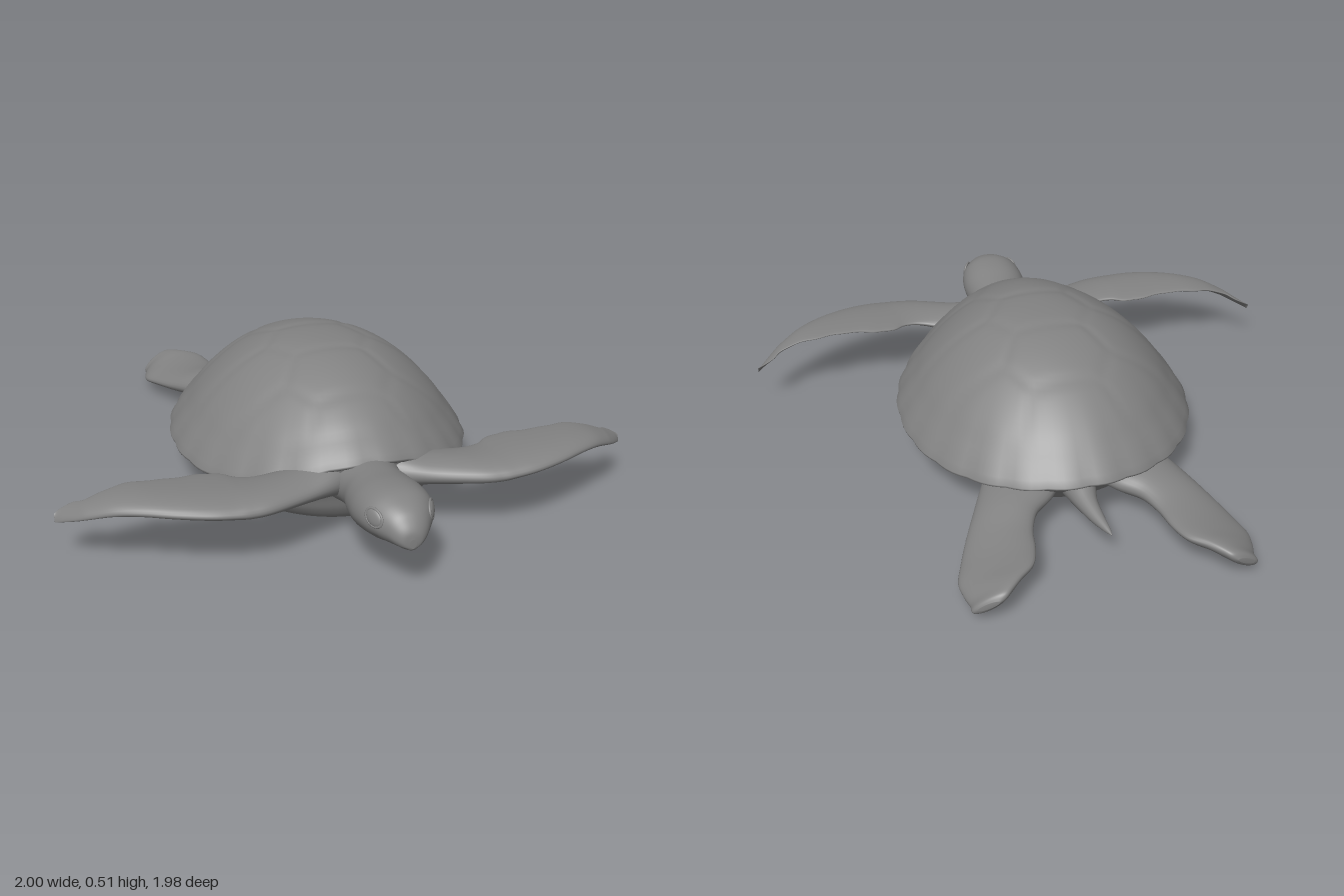
import * as THREE from 'three';

const material = new THREE.MeshStandardMaterial({ color: 0x828282 });
const { lerp, smoothstep, clamp } = THREE.MathUtils;

// Smooth interpolation through a list of section rows, t in 0..1
function sampleRows(rows, t) {
  const f = t * (rows.length - 1), i = Math.min(Math.floor(f), rows.length - 2), k = f - i;
  const at = (n) => rows[clamp(n, 0, rows.length - 1)];
  return rows[i].map((b, c) => {
    const a = at(i - 1)[c], d = at(i + 1)[c], e = at(i + 2)[c];
    return b + 0.5 * k * (d - a + k * (2 * a - 5 * b + 4 * d - e + k * (3 * (b - d) + e - a)));
  });
}

// Closed, capped skin through rings; point(row, angle) returns [x, y, z]
function loft(name, rows, steps, sides, point) {
  const pos = [], index = [];
  for (let i = 0; i <= steps; i++) {
    const row = sampleRows(rows, i / steps);
    for (let j = 0; j < sides; j++) pos.push(...point(row, (j / sides) * Math.PI * 2));
  }
  for (let i = 0; i < steps; i++) {
    for (let j = 0; j < sides; j++) {
      const a = i * sides + j, b = i * sides + (j + 1) % sides;
      index.push(a, b, a + sides, b, b + sides, a + sides);
    }
  }
  for (const end of [0, steps]) {
    const c = [0, 0, 0], start = end * sides, tip = pos.length / 3;
    for (let j = 0; j < sides; j++) for (let k = 0; k < 3; k++) c[k] += pos[(start + j) * 3 + k] / sides;
    pos.push(...c);
    for (let j = 0; j < sides; j++) {
      const a = start + j, b = start + (j + 1) % sides;
      index.push(...(end ? [a, b, tip] : [b, a, tip]));
    }
  }
  // Turn every face outwards, judged by the enclosed volume
  let volume = 0;
  const v = (n) => new THREE.Vector3().fromArray(pos, n * 3);
  for (let i = 0; i < index.length; i += 3) volume += v(index[i]).dot(v(index[i + 1]).cross(v(index[i + 2])));
  if (volume < 0) index.reverse();
  const geometry = new THREE.BufferGeometry();
  geometry.setAttribute('position', new THREE.Float32BufferAttribute(pos, 3));
  geometry.setIndex(index);
  geometry.computeVertexNormals();
  const mesh = new THREE.Mesh(geometry, material);
  mesh.name = name;
  return mesh;
}

// Shell rim: egg outline with a raised front and rear edge
const rimX = (a) => Math.cos(a) * 0.53;
const rimZ = (a) => Math.sin(a) * (Math.sin(a) > 0 ? 0.616 : 0.637);
function rimY(a) {
  const s = Math.sin(a);
  return 0.155 + (s > 0 ? 0.13 * s ** 4 : -0.045 * s ** 3);
}

// Shallow, soft seams between the shell plates
function seams(x, z, r) {
  const groove = (d) => Math.exp(-((d / 0.02) ** 2));
  const phase = (((z + 0.6) / 0.25) % 1 + 1) % 1;
  const halfWidth = 0.12 + 0.07 * (1 - Math.abs(phase - 0.5) * 2);
  const ax = Math.abs(x);
  const cross = ax < halfWidth ? Math.min(phase, 1 - phase) : phase - 0.5;
  const depth = Math.max(groove(ax - halfWidth), groove(cross * 0.25));
  return 0.0035 * depth * (1 - smoothstep(r, 0.8, 0.88)) + 0.003 * groove((r - 0.87) * 0.5);
}

function carapace() {
  // Rows: radius, drop below the rim
  const rows = [];
  for (let i = 0; i <= 36; i++) rows.push([0.015 + (i / 36) * 0.985, 0]);
  rows.push([0.997, 0.008], [0.985, 0.014], [0.95, 0.014]);
  return loft('carapace', rows, rows.length - 1, 120, ([r, drop], a) => {
    const scallop = 1 - 0.011 * r ** 6 * (1 - Math.abs(Math.sin(a * 12)));
    const x = rimX(a) * r * scallop;
    const z = rimZ(a) * r * scallop + 0.03 * (1 - r);
    if (drop > 0) return [x, rimY(a) - drop, z];
    return [x, lerp(rimY(a), 0.517, 1 - Math.min(r, 1) ** 2.38) - seams(x, z, r), z];
  });
}

function plastron() {
  // Rows: blend from rim to belly outline, blend from rim to belly height, scale, belly height
  const rows = [[0, 0, 0.972, 0.05], [0.35, 0.3, 0.982, 0.05], [0.7, 0.6, 0.985, 0.05], [0.92, 0.85, 0.98, 0.048],
    [1, 1, 0.93, 0.036], [1, 1, 0.84, 0.024], [1, 1, 0.65, 0.014], [1, 1, 0.42, 0.007], [1, 1, 0.2, 0.003], [1, 1, 0.02, 0.002]];
  return loft('plastron', rows, 45, 96, ([out, down, scale, height], a) => {
    const s = Math.sin(a);
    const x = lerp(rimX(a), Math.cos(a) * 0.43, out) * scale;
    const z = lerp(rimZ(a), s * (s > 0 ? 0.54 : 0.5), out) * scale;
    return [x, lerp(rimY(a) - 0.01, height, down), z];
  });
}

function head() {
  // Rows: z, top, bottom, half width
  const rows = [[0.36, 0.27, 0.07, 0.24], [0.46, 0.275, 0.09, 0.19], [0.55, 0.283, 0.108, 0.125],
    [0.63, 0.29, 0.113, 0.107], [0.7, 0.297, 0.113, 0.117], [0.78, 0.308, 0.12, 0.125],
    [0.85, 0.31, 0.134, 0.118], [0.9, 0.298, 0.146, 0.097], [0.94, 0.278, 0.156, 0.072],
    [0.965, 0.252, 0.162, 0.052], [0.98, 0.228, 0.168, 0.032], [0.985, 0.205, 0.175, 0.01]];
  return loft('headAndNeck', rows, 66, 56, ([z, top, bottom, w], a) => {
    const c = Math.cos(a), s = Math.sin(a);
    const y = (top + bottom) / 2 + s * (top - bottom) / 2;
    // Cheeks taper to the chin, and the lower jaw sits slightly inside the beak
    const cheek = s < 0 ? 1 - 0.22 * s * s * smoothstep(z, 0.7, 0.85) : 1;
    const mouth = 0.178 + 0.25 * Math.max(0, 0.92 - z) ** 1.2;
    const jaw = z > 0.87 && y < mouth ? 0.92 : 1;
    return [Math.sign(c) * Math.abs(c) ** 0.9 * w * cheek * jaw, y, z];
  });
}

function eye(side) {
  const group = new THREE.Group();
  group.name = side > 0 ? 'leftEye' : 'rightEye';
  const ball = new THREE.Mesh(new THREE.SphereGeometry(0.025, 24, 16), material);
  ball.name = 'eyeball';
  ball.scale.z = 0.35;
  const lid = new THREE.Mesh(new THREE.TorusGeometry(0.026, 0.004, 10, 32), material);
  lid.name = 'eyelid';
  group.add(ball, lid);
  group.scale.set(1.3, 1, 1);
  group.position.set(side * 0.093, 0.248, 0.893);
  group.lookAt(side * 0.98, 0.48, 1.37);
  group.rotateZ(side * 0.35);
  return group;
}

function frontFlipper(side) {
  // Rows: x, leading z, trailing z, height, half thickness
  const rows = [[0.04, 0.57, 0.38, 0.2, 0.075], [0.12, 0.615, 0.42, 0.212, 0.06], [0.22, 0.655, 0.45, 0.213, 0.045],
    [0.35, 0.705, 0.497, 0.222, 0.036], [0.42, 0.718, 0.495, 0.226, 0.034], [0.47, 0.72, 0.463, 0.23, 0.032],
    [0.55, 0.713, 0.458, 0.236, 0.03], [0.65, 0.684, 0.468, 0.241, 0.027], [0.75, 0.638, 0.456, 0.241, 0.024],
    [0.83, 0.593, 0.458, 0.23, 0.021], [0.9, 0.545, 0.462, 0.205, 0.017], [0.94, 0.512, 0.433, 0.187, 0.014],
    [0.98, 0.47, 0.428, 0.167, 0.009], [1, 0.447, 0.434, 0.155, 0.003]];
  return loft(side > 0 ? 'leftFrontFlipper' : 'rightFrontFlipper', rows, 78, 32, ([x, lead, trail, y, h], a) => {
    const c = Math.cos(a), k = (c + 1) / 2;
    const blade = smoothstep(x, 0.15, 0.45);
    const ragged = x > 0.5 && x < 0.92 ? 0.003 * Math.sin(x * 55) : 0;
    const thick = h * lerp(1, 0.45 + 0.75 * k, blade);
    return [side * x, y + Math.sin(a) * thick - 0.012 * c * blade, lerp(trail + ragged, lead, k)];
  });
}

function hindFlipper(side) {
  // Rows: inner x, inner z, outer x, outer z, inner y, outer y, half thickness
  const rows = [[0.06, -0.5, 0.28, -0.36, 0.13, 0.13, 0.05], [0.11, -0.57, 0.325, -0.45, 0.13, 0.125, 0.055],
    [0.175, -0.63, 0.375, -0.56, 0.125, 0.108, 0.05], [0.21, -0.71, 0.425, -0.67, 0.117, 0.085, 0.041],
    [0.225, -0.8, 0.46, -0.76, 0.117, 0.068, 0.036], [0.25, -0.875, 0.483, -0.83, 0.12, 0.056, 0.034],
    [0.3, -0.925, 0.478, -0.885, 0.12, 0.05, 0.033], [0.335, -0.96, 0.466, -0.93, 0.115, 0.047, 0.031],
    [0.36, -0.983, 0.466, -0.957, 0.108, 0.048, 0.025], [0.385, -0.99, 0.45, -0.97, 0.095, 0.06, 0.01]];
  return loft(side > 0 ? 'leftHindFlipper' : 'rightHindFlipper', rows, 54, 32, ([ix, iz, ox, oz, iy, oy, h], a) => {
    const k = (Math.cos(a) + 1) / 2;
    return [side * lerp(ix, ox, k), lerp(iy, oy, k) + Math.sin(a) * h, lerp(iz, oz, k)];
  });
}

function tail() {
  // Rows: x, y, z, radius
  const rows = [[0.01, 0.13, -0.48, 0.07], [0.008, 0.128, -0.57, 0.05], [0.005, 0.122, -0.63, 0.035],
    [-0.008, 0.115, -0.7, 0.023], [-0.022, 0.112, -0.76, 0.011], [-0.028, 0.112, -0.79, 0.002]];
  return loft('tail', rows, 24, 20, ([x, y, z, r], a) => [x + Math.cos(a) * r, y + Math.sin(a) * r, z]);
}

export function createModel() {
  const turtle = new THREE.Group();
  turtle.name = 'seaTurtle';
  turtle.add(carapace(), plastron(), head(), tail());
  for (const side of [1, -1]) turtle.add(eye(side), frontFlipper(side), hindFlipper(side));
  return turtle;
}
